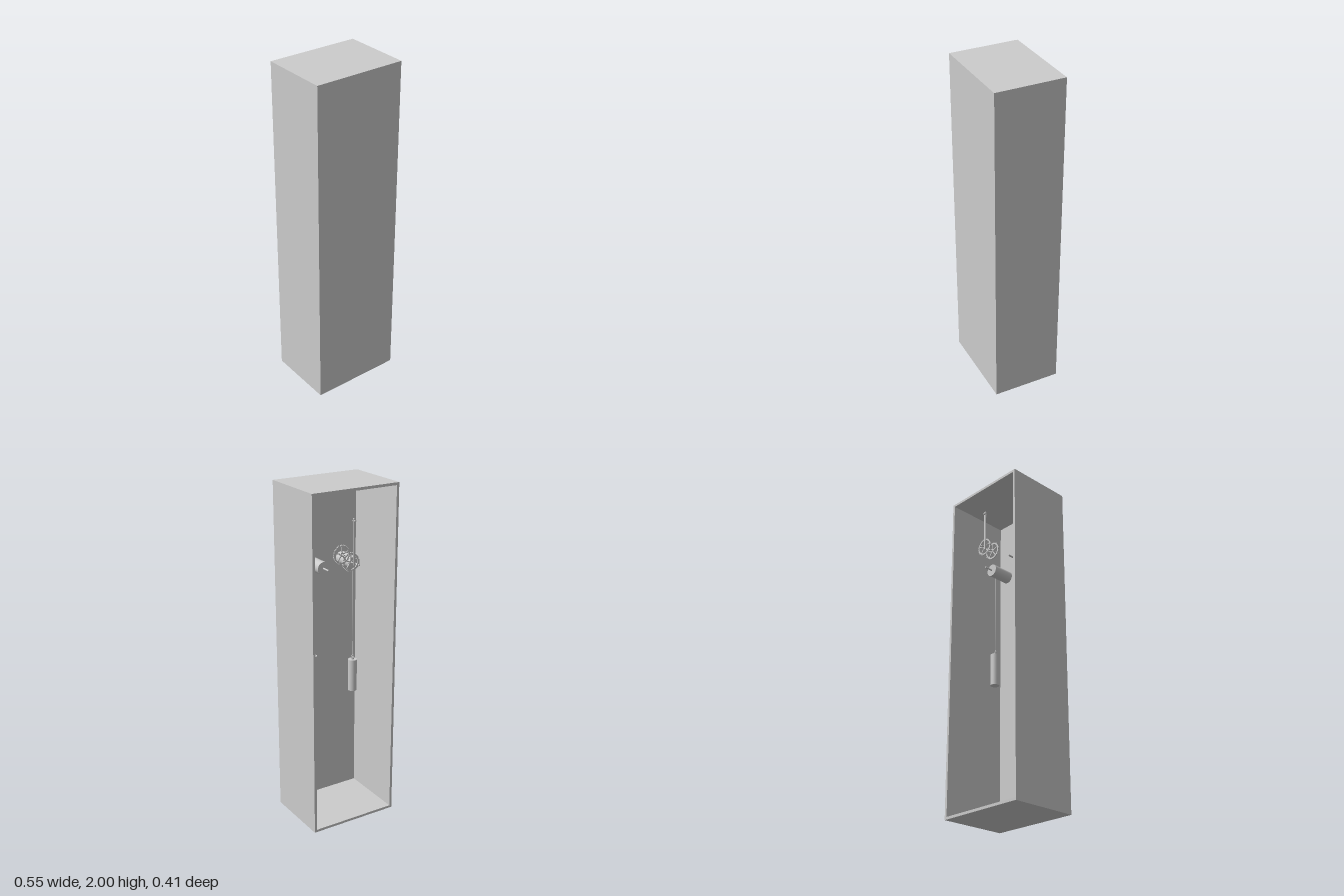
import * as THREE from 'three';

const material = new THREE.MeshStandardMaterial({ color: 0xcccccc });

function add(parent, name, geometry, x = 0, y = 0, z = 0) {
  const mesh = new THREE.Mesh(geometry, material);
  mesh.name = name;
  mesh.position.set(x, y, z);
  parent.add(mesh);
  return mesh;
}

const box = (w, h, d) => new THREE.BoxGeometry(w, h, d);
const rod = (r, length, sides = 24) => new THREE.CylinderGeometry(r, r, length, sides);
const rodZ = (r, length, sides) => rod(r, length, sides).rotateX(Math.PI / 2);

// Spoked, toothed wheel lying in the xy plane
function wheel(name, radius, x, y, z) {
  const group = new THREE.Group();
  group.name = name;
  group.position.set(x, y, z);
  const teeth = 36, depth = 0.006;
  const outline = [];
  for (let i = 0; i < teeth * 4; i++) {
    const a = (i / (teeth * 4)) * Math.PI * 2;
    const r = i % 4 < 2 ? radius : radius - 0.004;
    outline.push(new THREE.Vector2(r * Math.cos(a), r * Math.sin(a)));
  }
  const shape = new THREE.Shape(outline);
  shape.holes.push(new THREE.Path().absarc(0, 0, radius - 0.011, 0, Math.PI * 2, true));
  const rim = new THREE.ExtrudeGeometry(shape, { depth, bevelEnabled: false, curveSegments: 24 });
  add(group, 'wheelRim', rim.translate(0, 0, -depth / 2));
  for (let i = 0; i < 5; i++) {
    const spoke = box(0.006, radius - 0.008, depth * 0.8).translate(0, (radius - 0.008) / 2, 0);
    add(group, 'wheelSpoke', spoke).rotation.z = (i / 5) * Math.PI * 2;
  }
  add(group, 'wheelHub', rodZ(0.012, 0.01));
  add(group, 'wheelArbor', rodZ(0.004, 0.05, 12));
  return group;
}

// Winding drum with its cord and hanging weight
function drive(name, side, weightBottom) {
  const group = new THREE.Group();
  group.name = name;
  const x = side * 0.1, y = 1.535, z = 0.032, r = 0.037;
  add(group, 'drum', rodZ(r, 0.134, 32), x, y, z);
  add(group, 'drumShaft', rodZ(0.005, 0.19, 12), x, y, z - 0.025);

  const cordX = x + side * r, bodyTop = weightBottom + 0.195, hookY = bodyTop + 0.018;
  add(group, 'cord', rod(0.002, y - hookY, 8), cordX, (y + hookY) / 2, z);
  add(group, 'weightHook', new THREE.TorusGeometry(0.008, 0.0025, 8, 16), cordX, hookY, z);
  add(group, 'weightNeck', rod(0.008, 0.014, 16), cordX, bodyTop + 0.005, z);
  add(group, 'weight', rod(0.026, 0.195, 32), cordX, weightBottom + 0.0975, z);
  return group;
}

export function createModel() {
  const model = new THREE.Group();
  model.name = 'clockCase';
  const W = 0.546, H = 2, D = 0.41, T = 0.015;

  // Case, open at the back
  const shell = new THREE.Group();
  shell.name = 'case';
  model.add(shell);
  for (const [name, y] of [['bottomPanel', T / 2], ['topPanel', H - T / 2]]) {
    add(shell, name, box(W, T, D), 0, y, 0);
  }
  for (const [name, side] of [['leftPanel', 1], ['rightPanel', -1]]) {
    add(shell, name, box(T, H - 2 * T, D), side * (W - T) / 2, H / 2, 0);
  }
  add(shell, 'frontPanel', box(W - 2 * T, H - 2 * T, T), 0, H / 2, (D - T) / 2);

  // Movement: two drives, two wheels and the hanging rod
  const movement = new THREE.Group();
  movement.name = 'movement';
  model.add(movement);
  movement.add(drive('leftDrive', 1, 0.81), drive('rightDrive', -1, 0.73));
  movement.add(
    wheel('upperWheel', 0.054, 0.05, 1.632, -0.14),
    wheel('lowerWheel', 0.054, -0.012, 1.58, -0.134)
  );
  add(movement, 'pendulumRod', box(0.012, 0.26, 0.006), 0, 1.705, -0.185);
  add(movement, 'rodPivot', rodZ(0.006, 0.02, 12), 0, 1.82, -0.185);

  return model;
}
